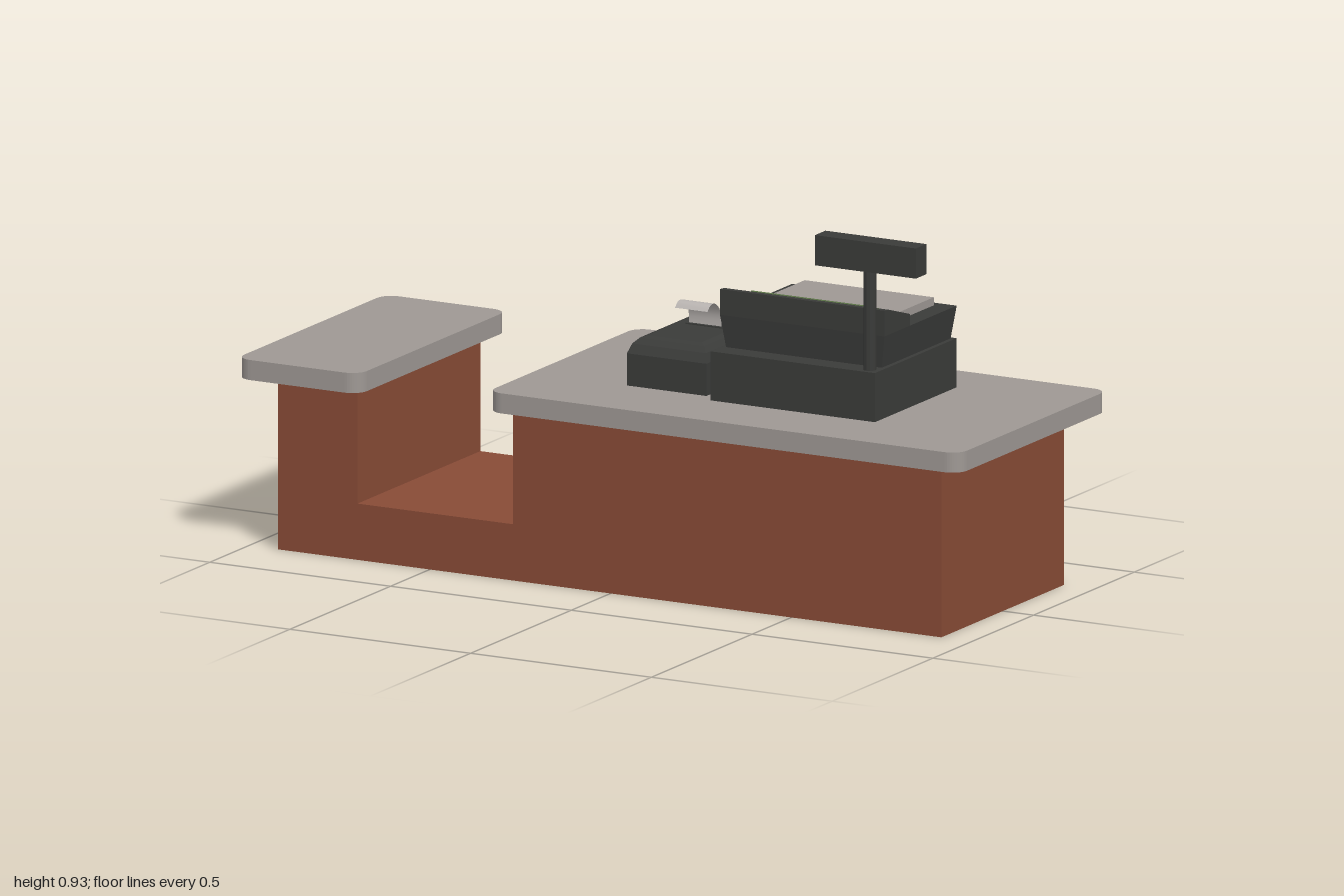
import * as THREE from 'three';

const paint = (color, extra = {}) => new THREE.MeshStandardMaterial({ color, ...extra });

export function createModel() {
  const model = new THREE.Group();
  const brown = paint(0x884b36), stone = paint(0x9e9894), green = paint(0x617c4b);
  const dark = paint(0x3a3b39, { flatShading: true });
  const paperMat = paint(0xb8b3b0, { side: THREE.DoubleSide });

  const add = (name, geometry, material, parent = model) => {
    const mesh = new THREE.Mesh(geometry, material);
    mesh.name = name;
    parent.add(mesh);
    return mesh;
  };
  const polygon = pts => new THREE.Shape(pts.map(p => new THREE.Vector2(...p)));

  // Box given by its limits on each axis
  const block = (x0, x1, y0, y1, z0, z1) =>
    new THREE.BoxGeometry(x1 - x0, y1 - y0, z1 - z0)
      .translate((x0 + x1) / 2, (y0 + y1) / 2, (z0 + z1) / 2);

  // Stacked rectangular sections [y, x0, x1, z0, z1], capped at both ends
  const loft = sections => {
    const pos = [], index = [];
    sections.forEach(([y, x0, x1, z0, z1], s) => {
      pos.push(x0, y, z1, x1, y, z1, x1, y, z0, x0, y, z0);
      if (!s) return;
      for (let i = 0; i < 4; i++) {
        const a = s * 4 - 4 + i, b = s * 4 - 4 + (i + 1) % 4;
        index.push(a, b, b + 4, a, b + 4, a + 4);
      }
    });
    const t = sections.length * 4 - 4;
    index.push(0, 2, 1, 0, 3, 2, t, t + 1, t + 2, t, t + 2, t + 3);
    const g = new THREE.BufferGeometry();
    g.setAttribute('position', new THREE.Float32BufferAttribute(pos, 3));
    g.setIndex(index);
    const flat = g.toNonIndexed();
    flat.computeVertexNormals();
    return flat;
  };

  // Counter body with a lowered gap
  const body = polygon([[-0.92, 0], [0.915, 0], [0.915, 0.43], [-0.27, 0.43],
    [-0.27, 0.14], [-0.7, 0.14], [-0.7, 0.43], [-0.92, 0.43]]);
  add('counterBody', new THREE.ExtrudeGeometry(body, { depth: 0.61, bevelEnabled: false })
    .translate(0, 0, -0.305), brown);

  // Counter tops with rounded corners
  const slab = (name, x0, x1) => {
    const z = 0.37, r = 0.04, s = new THREE.Shape();
    s.absarc(x1 - r, z - r, r, 0, Math.PI / 2);
    s.absarc(x0 + r, z - r, r, Math.PI / 2, Math.PI);
    s.absarc(x0 + r, r - z, r, Math.PI, Math.PI * 1.5);
    s.absarc(x1 - r, r - z, r, Math.PI * 1.5, Math.PI * 2);
    add(name, new THREE.ExtrudeGeometry(s, { depth: 0.05, bevelEnabled: false, curveSegments: 5 })
      .rotateX(-Math.PI / 2).translate(0, 0.43, 0), stone);
  };
  slab('smallCounterTop', -1, -0.66);
  slab('largeCounterTop', -0.305, 1);

  // Cash register
  const register = new THREE.Group();
  register.name = 'cashRegister';
  model.add(register);
  add('cashDrawer', block(0.22, 0.675, 0.485, 0.607, -0.202, 0.204), dark, register);
  add('registerBody', loft([
    [0.607, 0.232, 0.663, -0.193, 0.148],
    [0.688, 0.22, 0.675, -0.202, 0.157],
  ]), dark, register);
  const housing = polygon([[0.157, 0.688], [0.157, 0.752], [0.135, 0.75], [0.03, 0.717], [0.03, 0.688]]);
  add('screenHousing', new THREE.ExtrudeGeometry(housing, { depth: 0.455, bevelEnabled: false })
    .rotateY(-Math.PI / 2).translate(0.675, 0, 0), dark, register);
  const screen = add('screen', new THREE.BoxGeometry(0.315, 0.006, 0.088), green, register);
  screen.position.set(0.448, 0.735, 0.0875);
  screen.rotation.x = -0.304;
  add('keypad', block(0.268, 0.625, 0.688, 0.708, -0.178, 0.004), stone, register);

  // Customer display on its pole
  add('displayPole', new THREE.CylinderGeometry(0.016, 0.016, 0.25, 12)
    .translate(0.646, 0.731, 0.177), dark, register);
  add('customerDisplay', block(0.508, 0.787, 0.855, 0.93, 0.15, 0.202), dark, register);

  // Receipt printer
  const printer = new THREE.Group();
  printer.name = 'receiptPrinter';
  model.add(printer);
  add('printerBody', loft([
    [0.485, -0.03, 0.19, -0.18, 0.17],
    [0.565, -0.03, 0.19, -0.18, 0.17],
    [0.588, -0.022, 0.182, -0.178, 0.158],
    [0.601, -0.009, 0.169, -0.172, 0.142],
    [0.606, 0.006, 0.154, -0.165, 0.13],
  ]), dark, printer);
  add('paperSlot', block(0.03, 0.13, 0.6, 0.609, -0.032, -0.014), dark, printer);

  // Paper strip curling forward out of the slot
  const curl = new THREE.CatmullRomCurve3([[0.6, -0.022], [0.635, -0.02], [0.66, -0.008],
    [0.674, 0.015], [0.672, 0.035], [0.66, 0.048]].map(([y, z]) => new THREE.Vector3(0, y, z)));
  const strip = new THREE.PlaneGeometry(0.09, 1, 1, 14), p = strip.attributes.position;
  for (let i = 0; i < p.count; i++) {
    const c = curl.getPoint(p.getY(i) + 0.5);
    p.setXYZ(i, 0.08 + p.getX(i), c.y, c.z);
  }
  strip.computeVertexNormals();
  add('receiptPaper', strip, paperMat, printer);

  return model;
}
